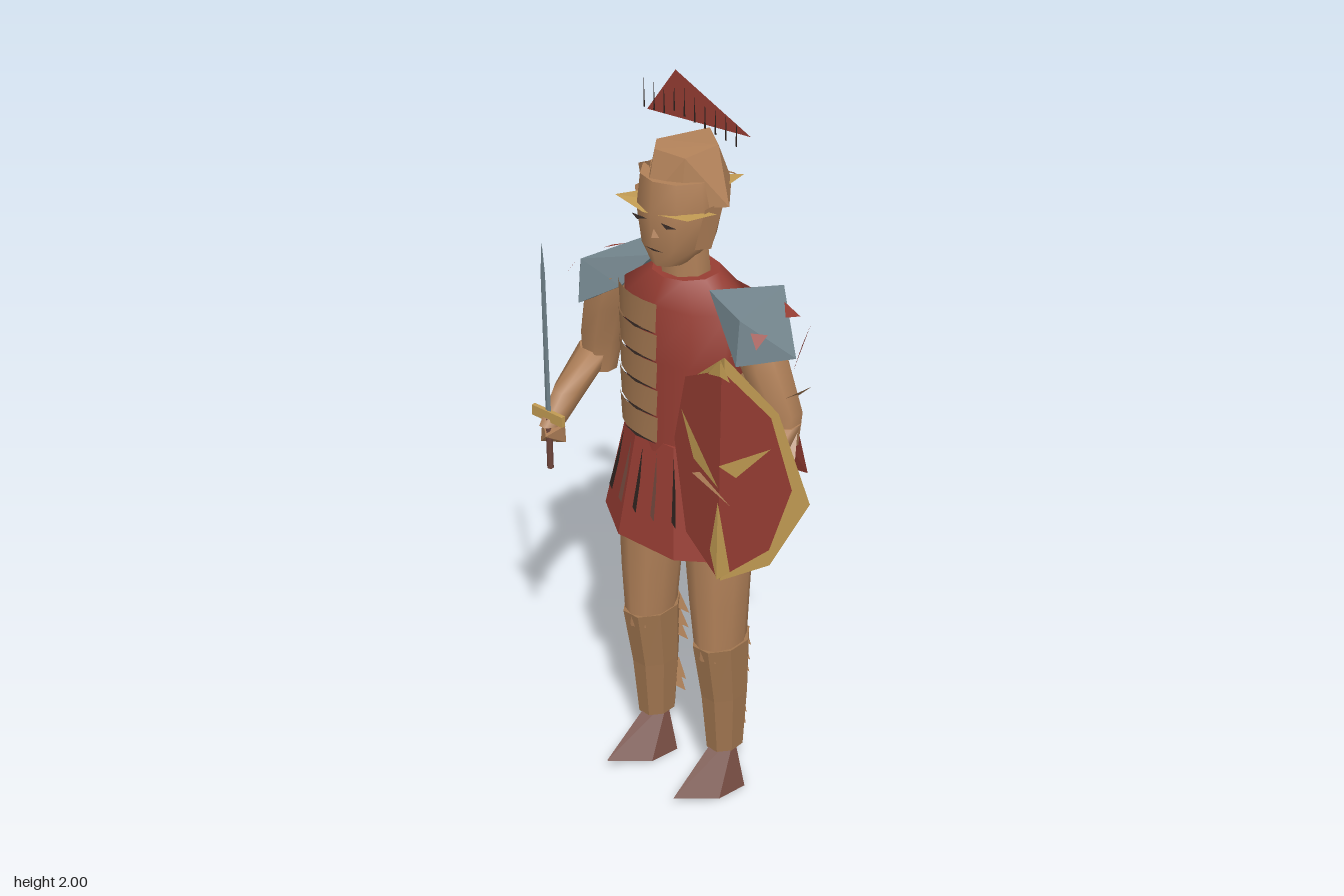
import * as THREE from 'three';
import { ConvexGeometry } from 'three/addons/geometries/ConvexGeometry.js';

const MID = -0.09; // body centre line

export function createModel() {
  const root = new THREE.Group();
  root.name = 'soldier';
  const mat = (name, color) => {
    const m = new THREE.MeshStandardMaterial({ color, side: THREE.DoubleSide });
    m.name = name;
    return m;
  };
  const skin = mat('skin', 0xb08058), bronze = mat('bronze', 0xa0754f), red = mat('red cloth', 0x963d33);
  const steel = mat('steel', 0x73858d), gold = mat('gold', 0xc09a52);
  const leather = mat('leather', 0x6e453b), dark = mat('dark', 0x2c211d);

  const add = (name, geo, material, parent = root) => {
    const m = new THREE.Mesh(geo, material);
    m.name = name;
    parent.add(m);
    return m;
  };

  // Loft through horizontal elliptical rings [y, cx, cz, rx, rz], lowest first
  const loft = (rings, n = 8, { start = Math.PI / n, arc = Math.PI * 2, flat = false } = {}) => {
    const pos = [], idx = [];
    const full = arc > 6.28;
    const w = full ? n : n + 1;
    const ring = ([y, cx, cz, rx, rz]) => {
      for (let i = 0; i < w; i++) {
        const a = start + (arc * i) / n;
        pos.push(cx + rx * Math.cos(a), y, cz + rz * Math.sin(a));
      }
    };
    rings.forEach(ring);
    for (let j = 0; j < rings.length - 1; j++)
      for (let i = 0; i < n; i++) {
        const a = j * w + i, b = j * w + ((i + 1) % w);
        idx.push(a, a + w, b, b, a + w, b + w);
      }
    if (full)
      [[rings[0], false], [rings[rings.length - 1], true]].forEach(([r, up]) => {
        const base = pos.length / 3;
        ring(r);
        for (let i = 1; i < n - 1; i++)
          idx.push(base, base + (up ? i + 1 : i), base + (up ? i : i + 1));
      });
    let g = new THREE.BufferGeometry();
    g.setAttribute('position', new THREE.Float32BufferAttribute(pos, 3));
    g.setIndex(idx);
    if (flat) g = g.toNonIndexed();
    g.computeVertexNormals();
    return g;
  };

  // Flat sheet: a fan of triangles from the first point
  const plate = (pts) => {
    const pos = [];
    for (let i = 1; i < pts.length - 1; i++) pos.push(...pts[0], ...pts[i], ...pts[i + 1]);
    const g = new THREE.BufferGeometry();
    g.setAttribute('position', new THREE.Float32BufferAttribute(pos, 3));
    g.computeVertexNormals();
    return g;
  };
  const hull = (pts) => new ConvexGeometry(pts.map((p) => new THREE.Vector3(...p)));

  // Torso with chest panel, banding and rib straps
  add('torso', loft([
    [1.04, MID, -0.015, 0.165, 0.115], [1.3, MID, -0.02, 0.178, 0.125],
    [1.45, MID, -0.03, 0.185, 0.125], [1.515, MID, -0.03, 0.09, 0.085],
  ], 10), red);
  for (let i = 0; i < 5; i++) {
    const y = 1.08 + i * 0.078;
    add('chestBand', loft([
      [y, MID, -0.015, 0.178, 0.132], [y + (i === 4 ? 0.077 : 0.07), MID, -0.015, 0.186, 0.128],
    ], 5, { start: 1.42, arc: 1.2 }), bronze);
    add('bandGap', plate([[-0.19, y, 0.099], [-0.13, y + 0.005, 0.12], [-0.06, y, 0.12], [-0.13, y - 0.001, 0.12]]), dark);
    if (i < 4)
      add('ribBand', loft([
        [y, MID, -0.02, 0.179, 0.128], [y + 0.04, MID, -0.02, 0.186, 0.131],
      ], 4, { start: 3.3, arc: 0.75 }), bronze);
    for (const s of [-1, 1])
      add('sideStrap', plate([
        [MID + s * 0.188, y + 0.03, 0.02], [MID + s * 0.183, y + 0.01, -0.06], [MID + s * 0.17, y + 0.045, -0.1],
      ]), bronze);
  }

  // Skirt and hanging straps
  const top = [1.07, MID, -0.015, 0.17, 0.118], hem = [0.77, MID + 0.005, -0.025, 0.255, 0.178];
  add('skirt', loft([hem, top], 8, { flat: true }), red);
  for (let i = 0; i < 6; i++) {
    const k = -0.72 + i * 0.28;
    const at = (t, dx) => {
      const [y, cx, cz, rx, rz] = hem.map((v, j) => v + (top[j] - v) * t);
      return [cx + k * rx + dx, y, cz + rz * Math.sqrt(1 - k * k) + 0.004];
    };
    add('skirtStrap', plate([at(0.92, 0), at(0.34, -0.008), at(0.3, 0.005), at(0.6, 0.006)]), i % 2 ? leather : dark);
  }

  // Cape
  add('cape', plate([[-0.3, 1.5, -0.137], [0.08, 1.44, -0.15], [0.13, 0.9, -0.26], [-0.225, 0.82, -0.31]]), red);

  // Neck, head and face
  add('neck', loft([[1.48, MID, -0.03, 0.068, 0.065], [1.62, MID, -0.02, 0.062, 0.06]]), skin);
  add('head', loft([
    [1.555, MID, 0.02, 0.045, 0.06], [1.605, MID, -0.005, 0.088, 0.1],
    [1.7, MID + 0.005, -0.005, 0.11, 0.11], [1.78, MID, -0.01, 0.1, 0.1],
  ], 10), skin);
  add('nose', hull([[-0.08, 1.69, 0.088], [-0.095, 1.64, 0.088], [-0.065, 1.64, 0.088], [-0.08, 1.642, 0.108]]), skin);
  for (const s of [-1, 1]) {
    const x = MID + 0.008 + s * 0.048;
    add('eye', plate([[x - 0.025, 1.683, 0.096], [x, 1.688, 0.104], [x + 0.025, 1.682, 0.096], [x, 1.676, 0.104]]), dark);
    add('cheekGuard', plate([
      [MID + s * 0.115, 1.72, 0.03], [MID + s * 0.115, 1.72, -0.04], [MID + s * 0.1, 1.6, -0.01], [MID + s * 0.09, 1.61, 0.04],
    ]), skin);
  }
  add('mouth', plate([[-0.11, 1.608, 0.098], [-0.08, 1.611, 0.102], [-0.05, 1.608, 0.098], [-0.08, 1.605, 0.1]]), dark);

  // Helmet, visor and neck guard
  add('helmet', hull([
    [-0.2, 1.72, -0.05], [-0.16, 1.715, 0.04], [-0.11, 1.715, 0.095], [-0.03, 1.715, 0.055], [0.05, 1.715, -0.03],
    [-0.06, 1.715, -0.165], [-0.14, 1.715, -0.165],
    [-0.14, 1.855, 0.02], [-0.11, 1.85, 0.06], [-0.03, 1.84, 0.04], [-0.02, 1.845, -0.07], [-0.1, 1.85, -0.13],
  ]), skin);
  add('helmetBack', hull([
    [-0.18, 1.73, -0.06], [0.01, 1.73, -0.06], [MID, 1.74, -0.155], [MID, 1.57, -0.1], [-0.16, 1.65, -0.05], [-0.02, 1.65, -0.05],
  ]), skin);
  add('helmetSpur', plate([[-0.15, 1.8, 0.03], [-0.22, 1.765, 0.0], [-0.21, 1.71, 0.0], [-0.15, 1.74, 0.04]]), skin);
  add('visor', plate([
    [-0.11, 1.712, 0.05], [-0.17, 1.712, 0.0], [-0.215, 1.712, 0.09], [-0.11, 1.7, 0.104], [0.02, 1.708, 0.088], [0.045, 1.708, 0.01],
  ]), gold);
  add('neckGuard', plate([[-0.21, 1.72, -0.175], [-0.07, 1.72, -0.19], [-0.05, 1.725, -0.175], [-0.14, 1.725, -0.165]]), bronze);
  add('neckGuardTip', plate([[-0.09, 1.728, -0.135], [-0.035, 1.728, -0.185], [-0.02, 1.728, -0.11]]), gold);

  // Crest and its bristles
  add('crest', plate([[-0.16, 2.0, -0.072], [-0.255, 1.875, -0.072], [0.08, 1.89, -0.072]]), red);
  for (let i = 0; i < 10; i++) {
    const x = -0.235 + i * 0.033;
    const y = x < -0.16 ? 1.94 : 1.96 - (x + 0.16) * 0.2;
    add('bristle', plate([[x - 0.003, y - 0.045, -0.04], [x + 0.003, y - 0.045, -0.04], [x, y + 0.03, -0.04]]), dark);
  }

  for (const s of [-1, 1]) {
    const side = s < 0 ? 'right' : 'left';
    const X = (d) => MID + s * d;

    // Shoulder plate: ridge from back to front, steep outer, front and back faces
    add(side + 'ShoulderPlate', hull([
      [X(0.225), 1.495, -0.14], [X(0.265), 1.49, 0.075], [X(0.12), 1.505, s < 0 ? -0.04 : 0.02],
      [X(0.365), 1.385, -0.02], [X(0.23), 1.37, -0.147], [X(0.265), 1.37, 0.088], [X(0.18), 1.42, 0.02],
    ]), steel);
    add(side + 'ShoulderCloth', plate([[X(0.26), 1.475, -0.1], [X(0.315), 1.455, -0.095], [X(0.305), 1.465, -0.05]]), red);
    add(side + 'ShoulderTrim', plate([[X(0.32), 1.455, 0.035], [X(0.295), 1.465, 0.07], [X(0.32), 1.43, 0.078]]), red);
    add(side + 'SleeveTip', plate([[X(0.35), 1.4, -0.06], [X(0.3), 1.3, -0.09], [X(0.32), 1.42, -0.13]]), red);

    // Arm and hand
    add(side + 'UpperArm', loft([
      [1.13, X(0.31), -0.03, 0.05, 0.045], [1.22, X(0.305), -0.035, 0.06, 0.055],
      [1.34, X(0.265), -0.02, 0.065, 0.065], [1.44, X(0.225), -0.02, 0.06, 0.06],
    ]), skin);
    add(side + 'Forearm', loft([
      [1.02, X(0.325), 0.135, 0.03, 0.045], [1.1, X(0.325), 0.06, 0.043, 0.062], [1.19, X(0.315), -0.03, 0.052, 0.05],
    ]), skin);
    add(side + 'ArmGuard', plate([[X(0.345), 1.2, -0.06], [X(0.385), 1.12, 0.0], [X(0.36), 1.05, 0.1], [X(0.36), 1.13, 0.05]]), bronze);
    add(side + 'ArmStrap', plate([[X(0.3), 1.22, -0.08], [X(0.385), 1.3, -0.06], [X(0.34), 1.27, 0.0]]), bronze);
    add(side + 'Hand', hull([
      [X(0.285), 1.02, 0.145], [X(0.355), 1.03, 0.145], [X(0.32), 1.06, 0.1],
      [X(0.285), 0.97, 0.13], [X(0.365), 0.95, 0.145], [X(0.32), 0.99, 0.17],
    ]), skin);

    // Leg and greave
    add(side + 'Thigh', loft([
      [0.42, X(0.127), -0.02, 0.06, 0.08], [0.6, X(0.122), -0.02, 0.075, 0.09],
      [0.82, X(0.115), -0.025, 0.092, 0.102], [0.95, X(0.1), -0.02, 0.085, 0.1],
    ], 10), skin);
    add(side + 'Greave', loft([
      [0.1, X(0.127), -0.04, 0.048, 0.06], [0.28, X(0.127), -0.037, 0.06, 0.075], [0.46, X(0.127), -0.022, 0.07, 0.092],
    ], 8, { flat: true }), bronze);
    for (let i = 0; i < 5; i++) {
      const y = [0.16, 0.2, 0.34, 0.38, 0.43][i], r = 0.055 + y * 0.06;
      add(side + 'GreaveStrap', plate([[X(0.12 - r), y, -0.08], [X(0.12 + r), y + 0.015, -0.06], [X(0.12), y + 0.02, -0.125]]), bronze);
    }

    // Shoe
    const fx = X(0.125) + 0.017;
    add(side + 'Shoe', hull([
      [fx - 0.074, 0, -0.02], [fx + 0.074, 0, -0.02], [fx, 0, -0.075], [fx + 0.06, 0, 0.07], [fx - 0.06, 0, 0.07],
      [fx - 0.01, 0.03, 0.18], [fx - 0.03, 0.12, -0.02], [fx + 0.01, 0.12, -0.05],
    ]), leather);
  }

  // Sword
  const sword = new THREE.Group();
  sword.name = 'sword';
  sword.position.set(-0.412, 0, 0.155);
  root.add(sword);
  add('blade', hull([
    [-0.01, 1.06, 0], [0.01, 1.06, 0], [0, 1.06, 0.003], [0, 1.06, -0.003],
    [-0.008, 1.46, 0], [0.008, 1.46, 0], [0, 1.55, 0],
  ]), steel, sword);
  const guard = add('swordGuard', new THREE.BoxGeometry(0.11, 0.03, 0.012), gold, sword);
  guard.position.y = 1.048;
  const grip = add('swordGrip', new THREE.CylinderGeometry(0.009, 0.009, 0.15, 6), leather, sword);
  grip.position.y = 0.965;

  // Shield: bent about a slightly leaning ridge, gold backing under a red face
  const bent = (pts, z, k) => pts.map(([x, y]) => [x, y, z - Math.abs(x - 0.265) * k - (y - 1.17) * 0.02]);
  const shield = new THREE.Group();
  shield.name = 'shield';
  root.add(shield);
  add('shieldBack', plate(bent([
    [0.265, 1.485], [0.13, 1.37], [0.065, 1.13], [0.13, 0.93], [0.265, 0.87], [0.38, 0.94], [0.468, 1.13], [0.39, 1.36],
  ], 0.24, 0.42)), gold, shield);
  add('shieldFace', plate(bent([
    [0.265, 1.455], [0.115, 1.37], [0.07, 1.18], [0.125, 0.94], [0.265, 0.88], [0.395, 1.0], [0.447, 1.18], [0.39, 1.36],
  ], 0.25, 0.28)), red, shield);
  [
    [[0.105, 1.28], [0.265, 1.14], [0.16, 1.17]],
    [[0.395, 1.28], [0.265, 1.2], [0.31, 1.18]],
    [[0.265, 1.1], [0.235, 0.95], [0.265, 0.88]],
    [[0.265, 1.1], [0.265, 0.88], [0.3, 0.91]],
    [[0.265, 1.485], [0.215, 1.425], [0.265, 1.44]],
    [[0.265, 1.485], [0.265, 1.44], [0.29, 1.43]],
  ].forEach((p) => add('shieldOrnament', plate(bent(p, 0.255, 0.28)), gold, shield));
  add('shieldBoss', plate([[0.215, 1.17, 0.265], [0.225, 1.19, 0.305], [0.32, 1.12, 0.275]]), skin, shield);

  return root;
}
